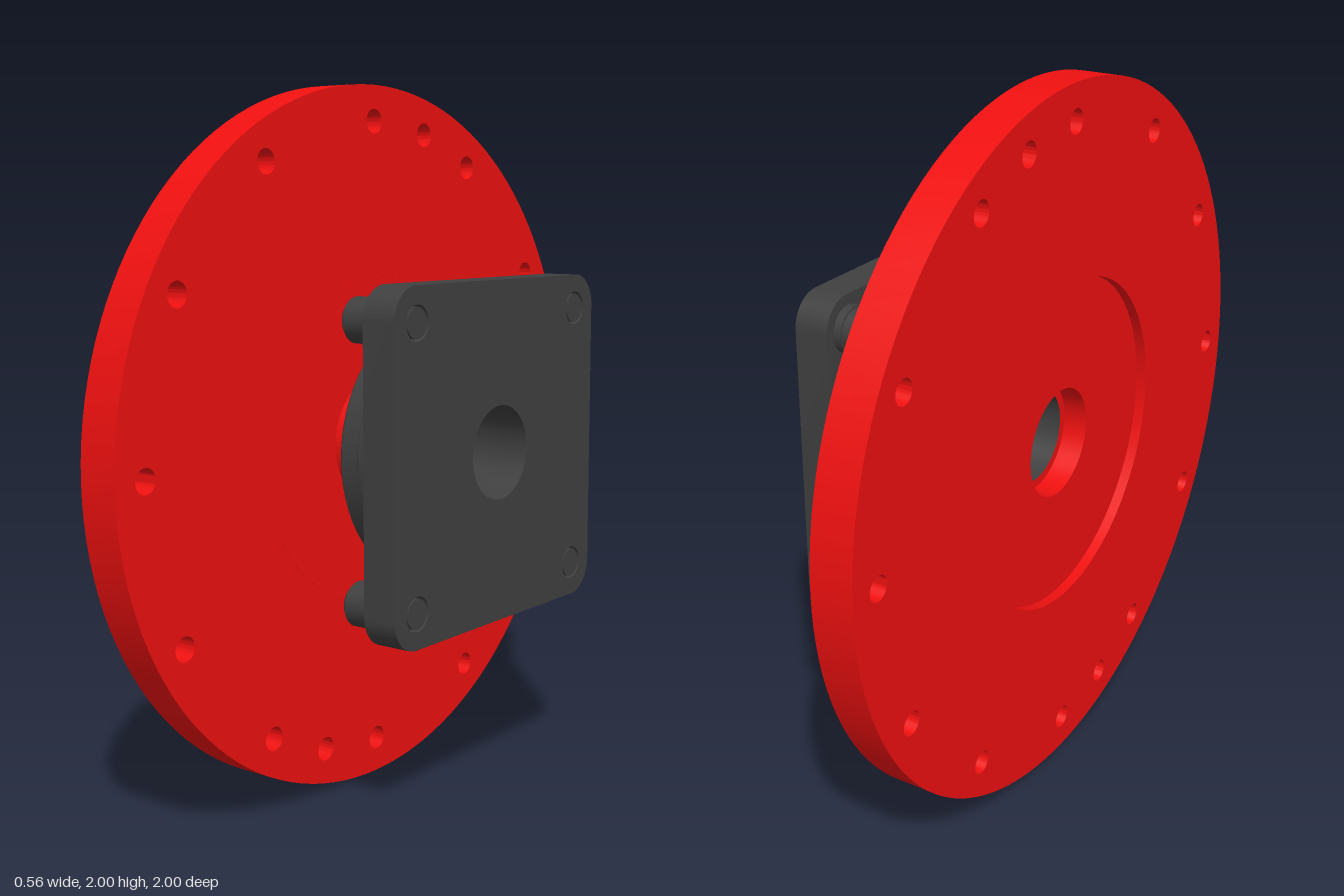
import * as THREE from 'three';
import { toCreasedNormals } from 'three/addons/utils/BufferGeometryUtils.js';

const red = new THREE.MeshStandardMaterial({ color: 0xf01010 });
const dark = new THREE.MeshStandardMaterial({ color: 0x404040 });

// Turned part: [radius, axial position] points, axis along local z
function turned(name, points, material, segments = 64) {
  const profile = points.map(([r, a]) => new THREE.Vector2(r, a));
  const geometry = new THREE.LatheGeometry(profile, segments).rotateX(Math.PI / 2);
  const mesh = new THREE.Mesh(toCreasedNormals(geometry, 0.5), material);
  mesh.name = name;
  return mesh;
}

// Flat part with round holes [x, y, radius], extruded from z0 to z1
function plate(name, shape, holes, z0, z1, material, curveSegments) {
  for (const [x, y, r] of holes) {
    shape.holes.push(new THREE.Path().absarc(x, y, r, 0, Math.PI * 2, true));
  }
  const geometry = new THREE.ExtrudeGeometry(shape, { depth: z1 - z0, bevelEnabled: false, curveSegments });
  geometry.translate(0, 0, z0);
  const mesh = new THREE.Mesh(toCreasedNormals(geometry, 0.5), material);
  mesh.name = name;
  return mesh;
}

function roundedSquare(h, r) {
  const s = new THREE.Shape();
  s.absarc(h - r, h - r, r, 0, Math.PI / 2);
  s.absarc(r - h, h - r, r, Math.PI / 2, Math.PI);
  s.absarc(r - h, r - h, r, Math.PI, Math.PI * 1.5);
  s.absarc(h - r, r - h, r, Math.PI * 1.5, Math.PI * 2);
  s.closePath();
  return s;
}

export function createModel() {
  const assembly = new THREE.Group();
  assembly.name = 'flangeAssembly';

  // Disc rim: twelve even holes plus two extra, opposite each other
  const angles = Array.from({ length: 12 }, (_, i) => i * 30).concat(75, 255);
  const rimHoles = angles.map((deg) => {
    const a = THREE.MathUtils.degToRad(deg);
    return [0.9 * Math.cos(a), 0.9 * Math.sin(a), 0.034];
  });
  const disc = new THREE.Shape().absarc(0, 0, 1, 0, Math.PI * 2);
  assembly.add(plate('discRim', disc, [...rimHoles, [0, 0, 0.47]], -0.28, -0.16, red, 64));

  // Recessed disc centre, counterbore and hub
  assembly.add(turned('discHub', [
    [0.13, -0.18], [0.155, -0.18], [0.155, -0.25], [0.47, -0.25],
    [0.47, -0.16], [0.18, -0.16], [0.18, 0.005],
  ], red));

  // Round boss with a sleeve lining the hub bore
  assembly.add(turned('boss', [
    [0.13, 0.18], [0.13, -0.18],
  ], dark));
  assembly.add(turned('bossBody', [
    [0.18, 0.003], [0.352, 0.003], [0.365, 0.016], [0.365, 0.07], [0.37, 0.075], [0.37, 0.18],
  ], dark));

  // Square mounting plate
  const corners = [[1, 1], [-1, 1], [-1, -1], [1, -1]].map(([x, y]) => [x * 0.375, y * 0.375]);
  const plateHoles = corners.map(([x, y]) => [x, y, 0.047]);
  assembly.add(plate('mountingPlate', roundedSquare(0.47, 0.09), [...plateHoles, [0, 0, 0.13]],
    0.175, 0.275, dark, 32));

  // Bolts: chamfered head, washer, shank ending flush with the plate
  for (const [x, y] of corners) {
    const bolt = turned('bolt', [
      [0, 0.07], [0.05, 0.07], [0.061, 0.081], [0.061, 0.152], [0.066, 0.152],
      [0.066, 0.18], [0.041, 0.18], [0.041, 0.274], [0, 0.274],
    ], dark, 32);
    bolt.position.set(x, y, 0);
    assembly.add(bolt);
  }

  // Turn the axis onto x and stand the disc on the ground
  assembly.rotation.y = Math.PI / 2;
  assembly.position.y = 1;
  const model = new THREE.Group();
  model.name = 'flangedDisc';
  model.add(assembly);
  return model;
}
